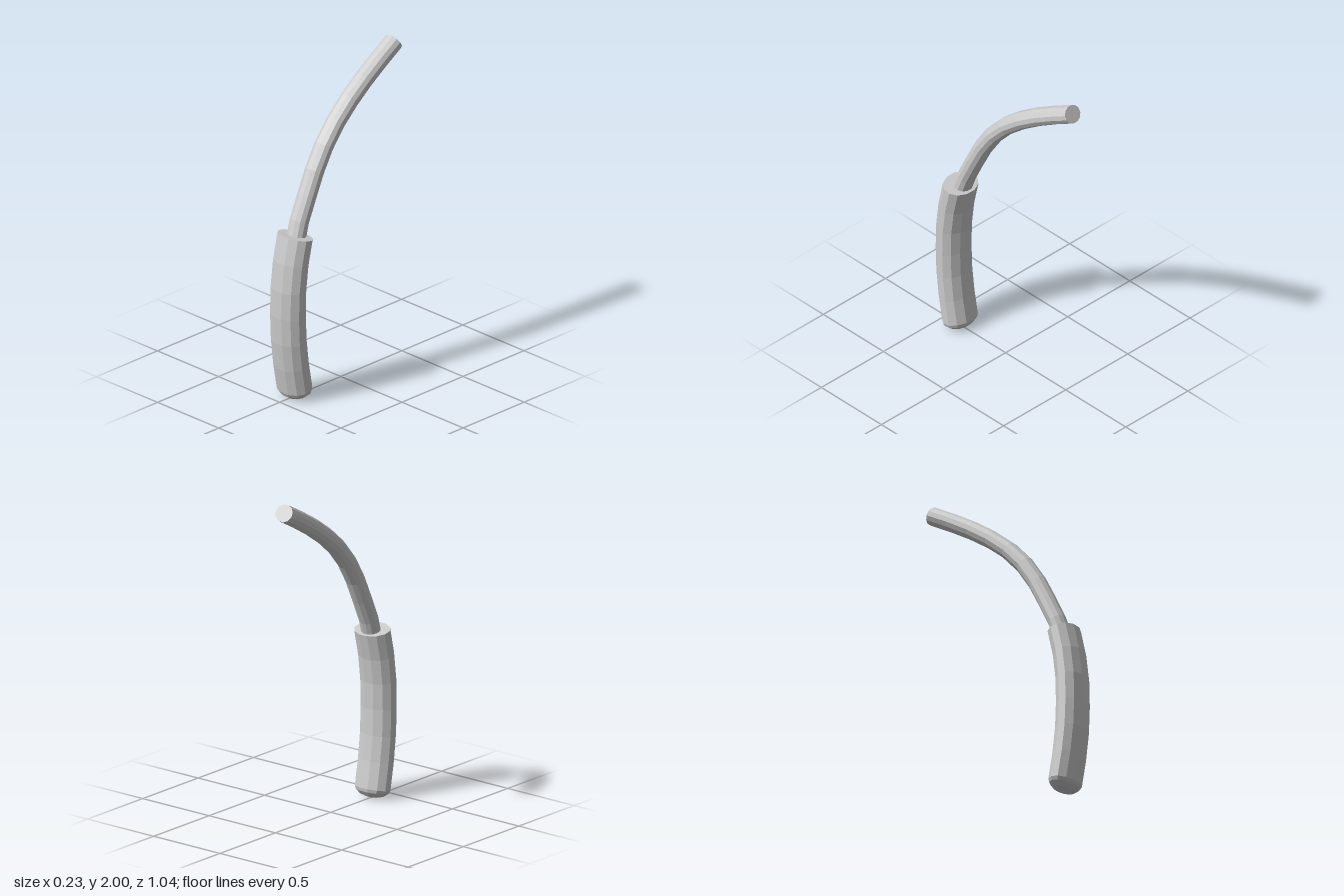
import * as THREE from 'three';

const SIDES = 12;

// Closed sweep: stations are [centre, tangent, scale], section is an ellipse rx by rn
function sweep(name, stations, rx, rn, material) {
  const pos = [], index = [];
  for (const [centre, tangent, scale] of stations) {
    const side = new THREE.Vector3(1, 0, 0).addScaledVector(tangent, -tangent.x).normalize();
    const normal = side.clone().cross(tangent);
    for (let i = 0; i < SIDES; i++) {
      const a = ((i + 0.5) / SIDES) * Math.PI * 2;
      const p = centre.clone()
        .addScaledVector(side, Math.cos(a) * rx * scale)
        .addScaledVector(normal, Math.sin(a) * rn * scale);
      pos.push(p.x, p.y, p.z);
    }
  }
  for (let s = 0; s < stations.length - 1; s++) {
    for (let i = 0; i < SIDES; i++) {
      const j = (i + 1) % SIDES;
      const a = s * SIDES + i, b = s * SIDES + j, c = a + SIDES, d = b + SIDES;
      if (stations[s][2] > 0) index.push(a, c, b);
      if (stations[s + 1][2] > 0) index.push(b, c, d);
    }
  }
  const geometry = new THREE.BufferGeometry();
  geometry.setAttribute('position', new THREE.Float32BufferAttribute(pos, 3));
  geometry.setIndex(index);
  geometry.computeVertexNormals();
  const mesh = new THREE.Mesh(geometry, material);
  mesh.name = name;
  return mesh;
}

// Evenly spaced full-size stations along a smooth curve through the points
function along(points, segments) {
  const curve = new THREE.CatmullRomCurve3(points.map(p => new THREE.Vector3(...p)));
  return Array.from({ length: segments + 1 }, (_, i) =>
    [curve.getPointAt(i / segments), curve.getTangentAt(i / segments), 1]);
}

export function createModel() {
  const group = new THREE.Group();
  group.name = 'handleWithCable';
  const material = new THREE.MeshStandardMaterial({ color: 0xcccccc, flatShading: true });

  // Thick curved handle with a domed bottom and flat top
  const grip = along([
    [0, 0.055, 0.379], [0, 0.3, 0.42], [0, 0.56, 0.433], [0, 0.8, 0.42], [0, 1.02, 0.374],
  ], 6);
  const [base, baseDir] = grip[0];
  const dome = [[0.056, 0], [0.054, 0.35], [0.044, 0.65], [0.02, 0.92]].map(([depth, scale]) =>
    [base.clone().addScaledVector(baseDir, -depth), baseDir, scale]);
  const [top, topDir] = grip[grip.length - 1];
  group.add(sweep('handle', [...dome, ...grip, [top, topDir, 0]], 0.118, 0.089, material));

  // Slim cable bending backwards out of the handle, flat at both ends
  const cable = along([
    [0, 0.95, 0.38], [-0.006, 1.03, 0.358], [-0.013, 1.275, 0.247], [-0.02, 1.455, 0.15],
    [-0.03, 1.625, 0.005], [-0.041, 1.755, -0.16], [-0.051, 1.862, -0.33], [-0.061, 1.953, -0.495],
  ], 9);
  const [start, startDir] = cable[0];
  const [tip, tipDir] = cable[cable.length - 1];
  group.add(sweep('cable', [[start, startDir, 0], ...cable, [tip, tipDir, 0]], 0.06, 0.054, material));

  return group;
}
